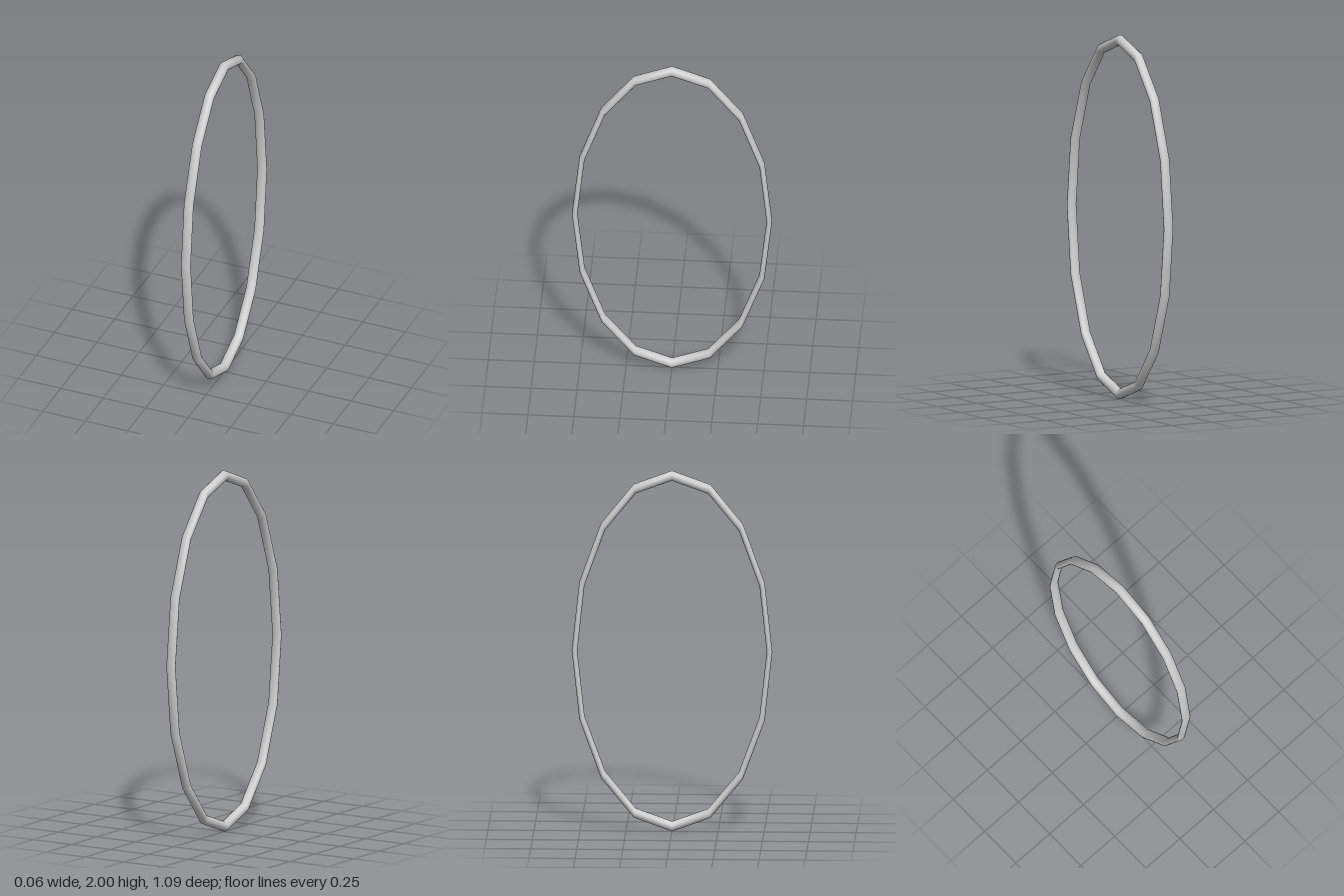
import * as THREE from 'three';

export function createModel() {
  const group = new THREE.Group();
  group.name = 'ovalHoop';

  const tube = 0.028;   // thickness radius
  const flatten = 0.545; // depth of the oval relative to its height

  // Sixteen-sided hoop standing upright in the YZ plane, squeezed into an oval
  const geometry = new THREE.TorusGeometry(1 - tube, tube, 16, 16);
  geometry.rotateY(Math.PI / 2);
  geometry.scale(1, 1, flatten);
  geometry.translate(0, 1, 0);

  const ring = new THREE.Mesh(geometry, new THREE.MeshStandardMaterial({ color: 0xcccccc }));
  ring.name = 'ring';
  group.add(ring);
  return group;
}
